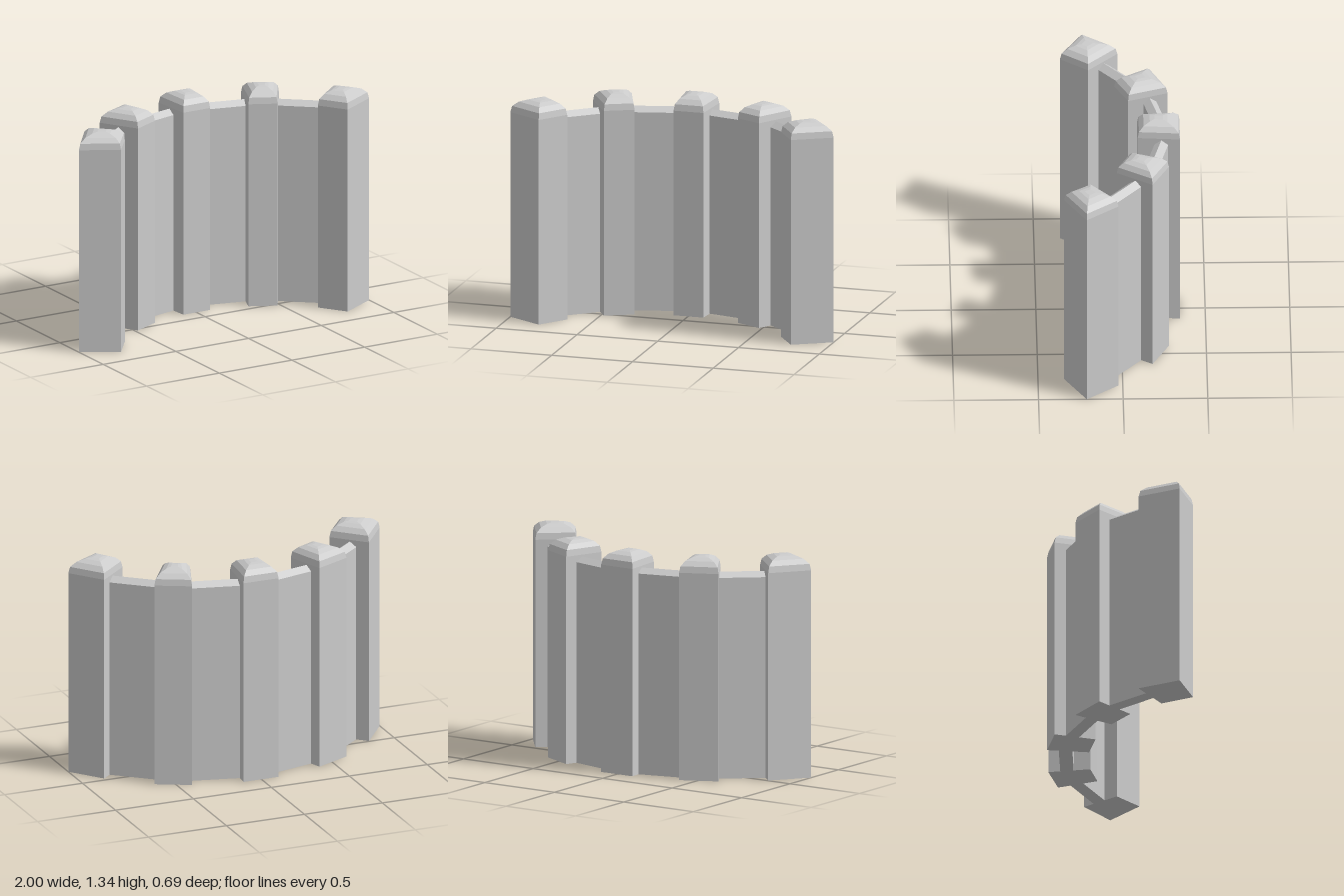
import * as THREE from 'three';

const material = new THREE.MeshStandardMaterial({ color: 0xcccccc, flatShading: true });

// Ground plan of each post: [x, z] corners, clockwise seen from above
const postPlans = [
  [[-1, 0.22], [-0.84, 0.005], [-0.66, 0.18], [-0.785, 0.345]],
  [[-0.615, -0.185], [-0.4, -0.285], [-0.315, -0.05], [-0.48, 0.03]],
  [[-0.11, -0.35], [0.115, -0.35], [0.095, -0.1], [-0.09, -0.1]],
  [[0.415, -0.28], [0.615, -0.18], [0.48, 0.03], [0.325, -0.045]],
  [[0.85, 0.025], [1, 0.215], [0.775, 0.345], [0.665, 0.185]],
];

// Post outline as [height, scale of plan]: straight shaft, then domed cap
const postProfile = [[0, 1], [1.25, 1], [1.288, 0.94], [1.316, 0.72], [1.331, 0.42], [1.335, 0.2]];

// Centre line of the curved wall
const wallPath = [[-0.82, 0.145], [-0.46, -0.155], [0, -0.265], [0.46, -0.155], [0.82, 0.145]];

function postGeometry(plan) {
  const cx = plan.reduce((s, p) => s + p[0], 0) / 4;
  const cz = plan.reduce((s, p) => s + p[1], 0) / 4;
  const positions = [];
  const index = [];
  for (const [y, s] of postProfile) {
    for (const [x, z] of plan) positions.push(cx + (x - cx) * s, y, cz + (z - cz) * s);
  }
  const quad = (a, b, c, d) => index.push(a, b, c, a, c, d);
  for (let r = 0; r < postProfile.length - 1; r++) {
    for (let i = 0; i < 4; i++) {
      const j = (i + 1) % 4;
      quad(r * 4 + i, r * 4 + 4 + i, r * 4 + 4 + j, r * 4 + j);
    }
  }
  const t = (postProfile.length - 1) * 4;
  quad(t + 3, t + 2, t + 1, t);
  quad(0, 1, 2, 3);
  const indexed = new THREE.BufferGeometry();
  indexed.setAttribute('position', new THREE.Float32BufferAttribute(positions, 3));
  indexed.setIndex(index);
  const geometry = indexed.toNonIndexed();
  geometry.computeVertexNormals();
  return geometry;
}

// Wall cross-section with a ridged top
function wallSection() {
  const h = 0.04;
  return new THREE.Shape([[-h, 0], [h, 0], [h, 1.21], [0, 1.24], [-h, 1.21]].map(([x, y]) => new THREE.Vector2(x, y)));
}

export function createModel() {
  const group = new THREE.Group();
  group.name = 'curvedPalisade';

  postPlans.forEach((plan, i) => {
    const post = new THREE.Mesh(postGeometry(plan), material);
    post.name = `post${i + 1}`;
    group.add(post);
  });

  // Thin panels running from post to post
  for (let i = 0; i < wallPath.length - 1; i++) {
    const [x0, z0] = wallPath[i];
    const [x1, z1] = wallPath[i + 1];
    const depth = Math.hypot(x1 - x0, z1 - z0);
    const panel = new THREE.Mesh(new THREE.ExtrudeGeometry(wallSection(), { depth, bevelEnabled: false }), material);
    panel.name = `wallPanel${i + 1}`;
    panel.position.set(x0, 0, z0);
    panel.rotation.y = Math.atan2(x1 - x0, z1 - z0);
    group.add(panel);
  }
  return group;
}
